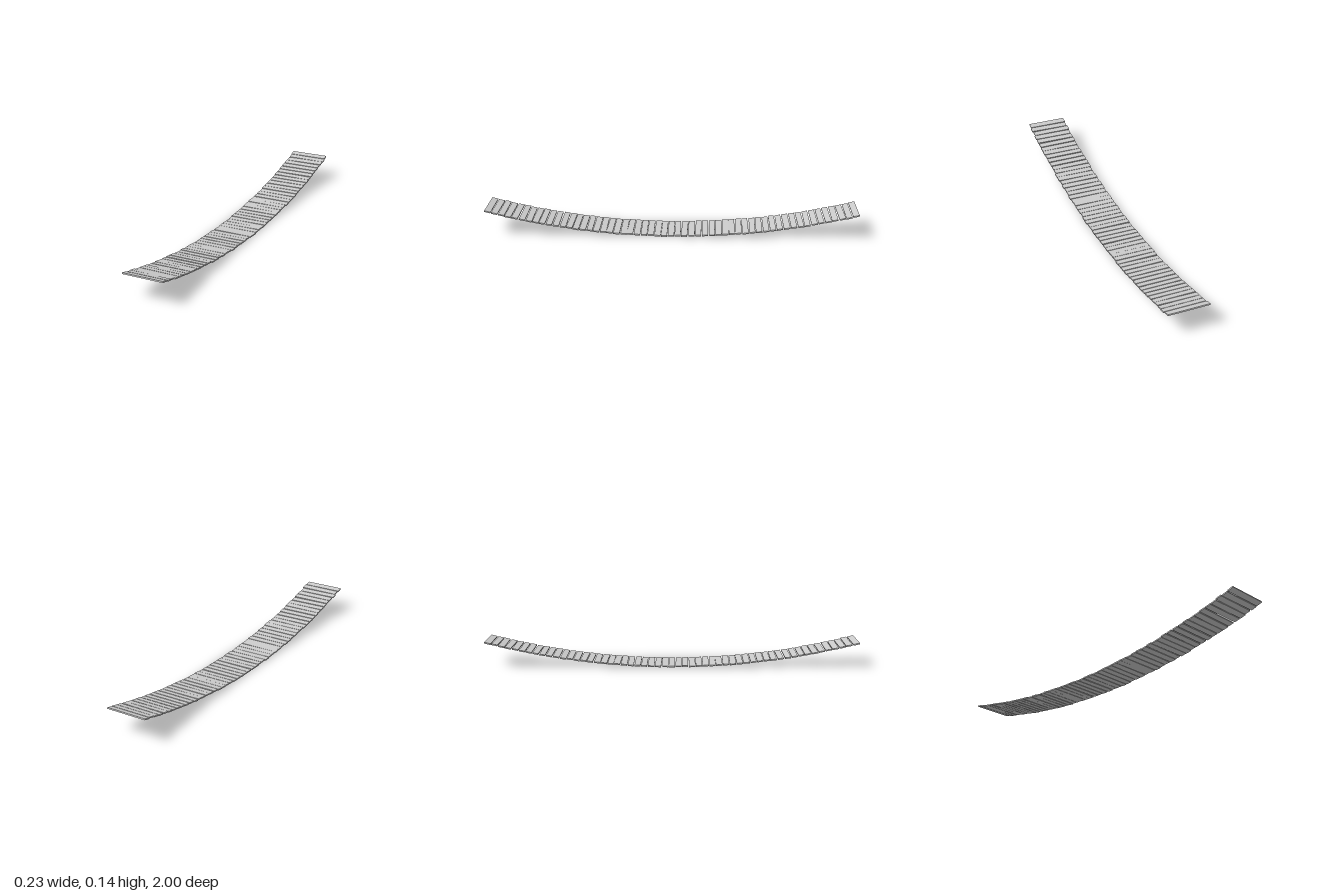
import * as THREE from 'three';

const COUNT = 55, PITCH = 2 / COUNT, WIDTH = 0.219, THICK = 0.007, SAG = 0.128;

// Small seeded generator, returns values in -1..1
function makeJitter(seed) {
  return () => {
    seed = (seed * 16807) % 2147483647;
    return (seed / 2147483647) * 2 - 1;
  };
}

export function createModel() {
  const group = new THREE.Group();
  group.name = 'sagging plank walkway';
  const material = new THREE.MeshStandardMaterial({ color: 0xcccccc, flatShading: true });
  const jitter = makeJitter(4217);

  // Planks laid across a shallow parabola, each slightly out of line
  for (let i = 0; i < COUNT; i++) {
    const end = i === 0 || i === COUNT - 1;
    const loose = end ? 0 : 1;
    const z = -1 + (i + 0.5) * PITCH;
    const depth = end ? 0.034 : 0.0325 + jitter() * 0.002;
    const plank = new THREE.Mesh(new THREE.BoxGeometry(WIDTH, THICK, depth), material);
    plank.name = `plank${i + 1}`;
    plank.position.set(
      jitter() * 0.003,
      0.005 + SAG * z * z + jitter() * 0.0008 * loose,
      z + jitter() * 0.0015 * loose
    );
    // Follow the slope, with a little yaw and roll
    plank.rotation.set(
      -Math.atan(2 * SAG * z) + jitter() * 0.03 * loose,
      jitter() * 0.014 * loose,
      jitter() * 0.006
    );
    group.add(plank);
  }
  return group;
}
